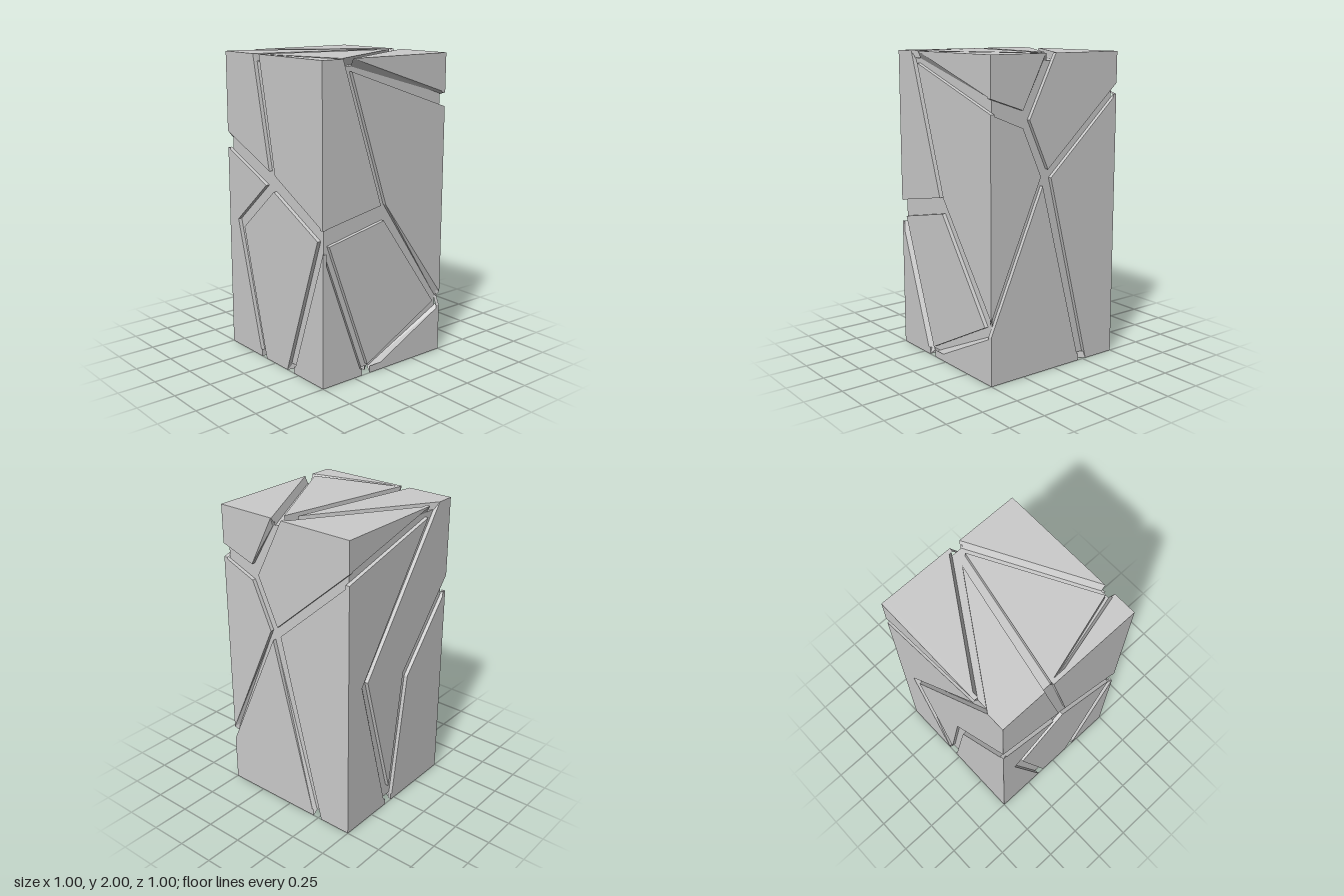
import * as THREE from 'three';

const DEPTH = 0.025, DEPTH_Y = 0.045;

// Each face: map (u, v, inset) to a position; hand = sign of (u x v) against the outward normal.
// Slab corners are [u, v], plus an optional [du, dv] by which the wall flares out at its foot.
const FACES = {
  front: {
    depth: DEPTH, hand: 1, at: (u, v, d) => [u, v, 0.5 - d],
    slabs: [
      [[-0.27, 2, 0, -0.05], [0.5, 1.75, -0.02, -0.01], [0.5, 2]],
      [[-0.28, 1.925], [0.5, 1.66], [0.5, 0.41, -0.02, -0.03], [0, 1.09]],
      [[-0.5, 2], [-0.345, 2], [-0.04, 1.09], [-0.5, 1.005]],
      [[-0.45, 0.9], [-0.015, 0.99], [0.435, 0.36], [-0.14, 0.065]],
      [[-0.5, 0.86, 0.03, 0], [-0.185, 0, 0.02, 0.03], [-0.5, 0]],
      [[-0.12, 0, 0, 0.04], [0.5, 0.31, -0.015, 0.01], [0.5, 0]],
    ],
  },
  right: {
    depth: DEPTH, hand: -1, at: (u, v, d) => [0.5 - d, v, u],
    slabs: [
      [[0.5, 2], [0.09, 2, -0.01, -0.03], [0.26, 1.67], [0.5, 1.75]],
      [[0.5, 1.66], [0.26, 1.565], [0.12, 1.26], [0.5, 0.41, -0.01, -0.03]],
      [[0.01, 2], [0.21, 1.61], [0.065, 1.3], [-0.5, 1.8], [-0.5, 2]],
      [[0.04, 1.245], [-0.5, 1.73], [-0.5, 0], [-0.275, 0]],
      [[0.105, 1.2], [0.5, 0.315], [0.5, 0], [-0.21, 0, -0.01, 0.04]],
    ],
  },
  back: {
    depth: DEPTH, hand: -1, at: (u, v, d) => [u, v, -0.5 + d],
    slabs: [
      [[-0.275, 2], [0.5, 2], [0.5, 1.8]],
      [[0.5, 1.73], [-0.26, 1.93], [0.372, 1.02, -0.03, 0], [0.105, 0], [0.5, 0]],
      [[-0.5, 2], [-0.38, 2], [0.314, 1.03], [0.066, 0.13], [-0.054, 0.95], [-0.5, 1.48]],
      [[-0.5, 1.37], [-0.105, 0.9], [0.03, 0], [-0.5, 0]],
    ],
  },
  left: {
    depth: DEPTH, hand: 1, at: (u, v, d) => [-0.5 + d, v, u],
    slabs: [
      [[-0.5, 2], [-0.19, 2], [-0.035, 1.28], [-0.5, 1.48]],
      [[-0.125, 2], [0.5, 2], [0.5, 1.005], [0.025, 1.26]],
      [[-0.5, 1.37], [-0.07, 1.185], [-0.4, 0.9], [-0.15, 0], [-0.5, 0]],
      [[0.01, 1.156], [0.45, 0.93], [0.13, 0], [-0.1, 0], [-0.33, 0.86]],
      [[0.5, 0.86], [0.2, 0], [0.5, 0]],
    ],
  },
  top: {
    depth: DEPTH_Y, hand: -1, at: (u, v, d) => [u, 2 - d, v],
    slabs: [
      [[-0.275, -0.5, 0, 0.025], [0.5, 0, -0.015, 0.01], [0.5, -0.5]],
      [[-0.5, -0.5], [-0.38, -0.5], [0.37, -0.01], [-0.5, -0.19]],
      [[-0.48, -0.125], [0.42, 0.055], [-0.315, 0.455]],
      [[-0.27, 0.5, 0, -0.025], [0.5, 0.085, -0.02, -0.015], [0.5, 0.5]],
      [[-0.5, -0.125, 0.02, 0], [-0.345, 0.5, 0.02, -0.02], [-0.5, 0.5]],
    ],
  },
  bottom: {
    depth: DEPTH_Y, hand: 1, at: (u, v, d) => [u, d, v],
    slabs: [
      [[0.5, -0.5], [0.5, -0.275], [0.2, 0.04], [0.1, -0.5]],
      [[0.5, -0.21], [0.02, 0.34], [-0.12, 0.5], [0.5, 0.5]],
      [[0.16, 0.1], [0.06, 0.3], [-0.04, -0.15], [0.06, -0.44]],
      [[-0.185, 0.5], [-0.187, 0.285], [-0.5, 0.2], [-0.5, 0.5]],
      [[-0.01, 0.35], [-0.12, 0.45], [-0.13, 0.25], [-0.5, 0.13], [-0.5, -0.1], [-0.11, -0.11]],
      [[0.035, -0.5], [-0.13, -0.17], [-0.5, -0.15], [-0.5, -0.5]],
    ],
  },
};

// Outer cap plus a ring of walls down to the core
function slabGeometry({ at, hand, depth }, corners) {
  const flat = corners.map(([u, v]) => new THREE.Vector2(u, v));
  const turn = Math.sign(THREE.ShapeUtils.area(flat)) * hand;
  const loop = turn < 0 ? [...corners].reverse() : corners;
  const pts = turn < 0 ? flat.reverse() : flat;
  const outer = loop.map(([u, v]) => at(u, v, 0));
  const foot = loop.map(([u, v, du = 0, dv = 0]) => at(u + du, v + dv, depth + 0.002));
  const pos = [];

  for (const [a, b, c] of THREE.ShapeUtils.triangulateShape(pts, [])) {
    const good = THREE.ShapeUtils.area([pts[a], pts[b], pts[c]]) * hand > 0;
    pos.push(...outer[a], ...outer[good ? b : c], ...outer[good ? c : b]);
  }
  loop.forEach((_, i) => {
    const j = (i + 1) % loop.length;
    pos.push(...outer[i], ...foot[i], ...foot[j], ...outer[i], ...foot[j], ...outer[j]);
  });

  const geometry = new THREE.BufferGeometry();
  geometry.setAttribute('position', new THREE.Float32BufferAttribute(pos, 3));
  geometry.computeVertexNormals();
  return geometry;
}

export function createModel() {
  const model = new THREE.Group();
  model.name = 'crackedPillar';
  const material = new THREE.MeshStandardMaterial({ color: 0xcccccc, flatShading: true });

  // Core forms the floor of every crack
  const core = new THREE.Mesh(
    new THREE.BoxGeometry(1 - 2 * DEPTH, 2 - 2 * DEPTH_Y, 1 - 2 * DEPTH), material);
  core.name = 'core';
  core.position.y = 1;
  model.add(core);

  // Stone slabs between the cracks
  for (const [side, face] of Object.entries(FACES)) {
    const group = new THREE.Group();
    group.name = side + 'Slabs';
    face.slabs.forEach((corners, i) => {
      const slab = new THREE.Mesh(slabGeometry(face, corners), material);
      slab.name = side + 'Slab' + (i + 1);
      group.add(slab);
    });
    model.add(group);
  }
  return model;
}
